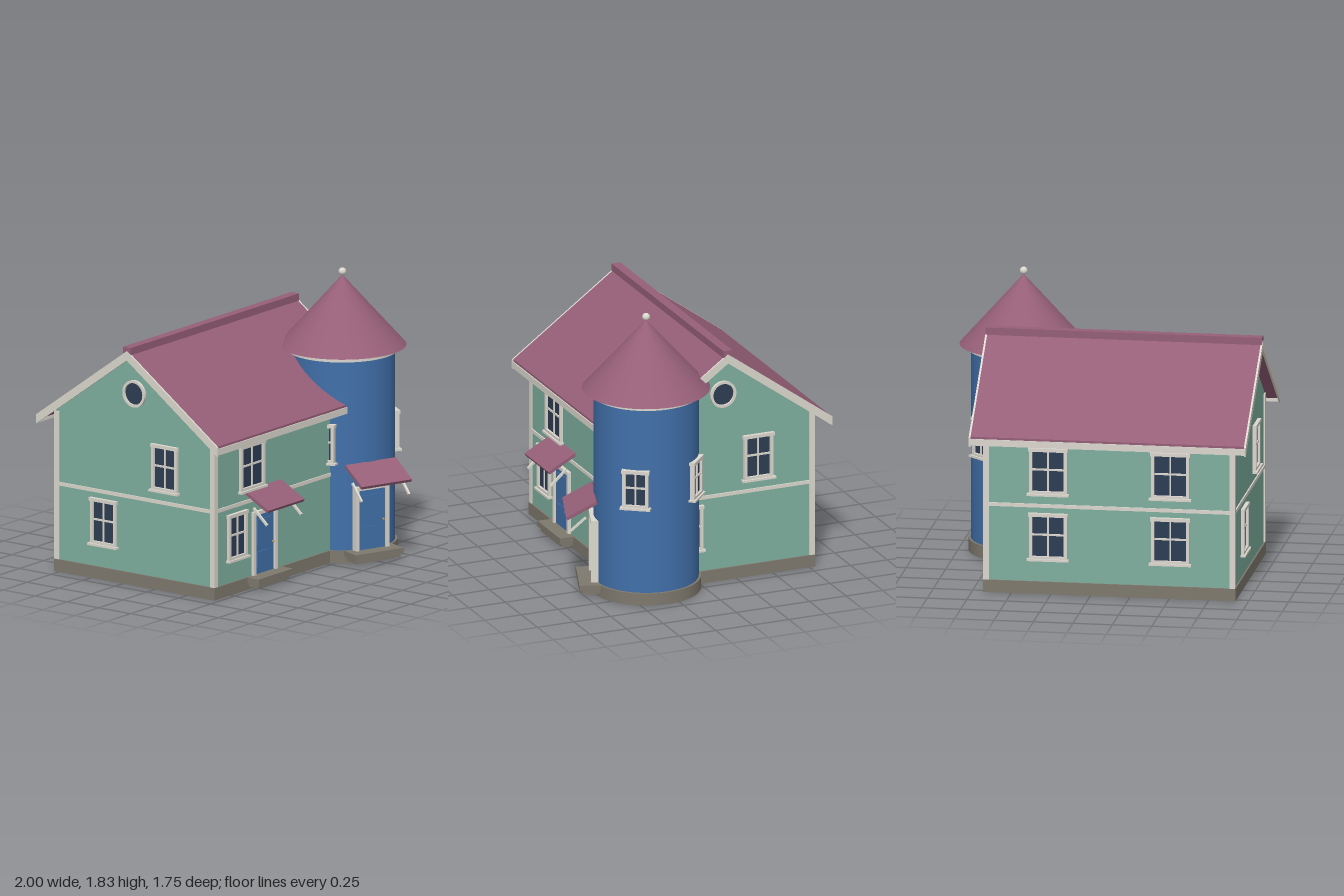
import * as THREE from 'three';

const mat = (name, color) => Object.assign(new THREE.MeshStandardMaterial({ color }), { name });

export function createModel() {
  const green = mat('wall green', 0x7fb09f);
  const blue = mat('tower blue', 0x4170aa);
  const plum = mat('roof plum', 0x965f78);
  const white = mat('trim white', 0xdcd8cf);
  const stone = mat('foundation stone', 0x7f796e);
  const glass = mat('window glass', 0x2c3d54);
  const brass = mat('knob brass', 0xb09a60);

  const house = new THREE.Group();
  house.name = 'house';

  const add = (parent, name, geo, material, x = 0, y = 0, z = 0) => {
    const m = new THREE.Mesh(geo, material);
    m.name = name;
    m.position.set(x, y, z);
    parent.add(m);
    return m;
  };
  // box given by its limits on each axis
  const box = (parent, name, material, x0, x1, y0, y1, z0, z1) =>
    add(parent, name, new THREE.BoxGeometry(x1 - x0, y1 - y0, z1 - z0), material,
      (x0 + x1) / 2, (y0 + y1) / 2, (z0 + z1) / 2);

  const X0 = -0.91, X1 = 0.67, Z0 = -0.78, Z1 = 0.46, RIDGE = -0.16;
  const R = 0.33, TX = 0.595, TZ = 0.33;

  // extrudes an outline of [distance from ridge, y] along x
  const alongX = (name, pts, x0, x1, material) => {
    const shape = new THREE.Shape(pts.map(([d, y]) => new THREE.Vector2(d, y)));
    const geo = new THREE.ExtrudeGeometry(shape, { depth: x1 - x0, bevelEnabled: false });
    geo.rotateY(Math.PI / 2);
    return add(house, name, geo, material, x0, 0, RIDGE);
  };
  // roof-shaped band with a given vertical thickness
  const chevron = (name, top, thick, reach, x0, x1, material) => {
    const eave = top - 0.725 * reach;
    alongX(name, [[-reach, eave - thick], [0, top - thick], [reach, eave - thick],
      [reach, eave], [0, top], [-reach, eave]], x0, x1, material);
  };

  // foundation and walls
  box(house, 'foundation', stone, X0 - 0.01, X1 + 0.01, 0, 0.08, Z0 - 0.01, Z1 + 0.01);
  alongX('walls', [[-0.62, 0.08], [0.62, 0.08], [0.62, 1.045], [0, 1.495], [-0.62, 1.045]], X0, X1, green);
  box(house, 'wallBand', white, X0 - 0.008, X1 + 0.008, 0.557, 0.58, Z0 - 0.008, Z1 + 0.008);
  for (const [x, sx] of [[X0, 1], [X1, -1]])
    for (const [z, sz] of [[Z0, 1], [Z1, -1]])
      add(house, 'cornerTrim', new THREE.BoxGeometry(0.036, 0.955, 0.036), white,
        x + sx * 0.01, 0.5575, z + sz * 0.01);

  // main roof
  chevron('roof', 1.53, 0.04, 0.705, -0.99, 0.748, plum);
  for (const x of [-0.998, 0.746]) chevron('bargeBoard', 1.531, 0.06, 0.712, x, x + 0.012, white);
  for (const s of [-1, 1])
    add(house, 'eaveFascia', new THREE.BoxGeometry(1.74, 0.042, 0.016), white, -0.121, 0.984, RIDGE + s * 0.704);
  box(house, 'ridgeCap', plum, -0.995, 0.755, 1.5, 1.555, RIDGE - 0.03, RIDGE + 0.03);

  // round tower
  const cyl = (name, r, y0, y1, material) =>
    add(house, name, new THREE.CylinderGeometry(r, r, y1 - y0, 48), material, TX, (y0 + y1) / 2, TZ);
  cyl('towerBase', 0.345, 0, 0.08, stone);
  cyl('towerWall', R, 0.08, 1.3, blue);
  cyl('towerCornice', 0.347, 1.298, 1.332, white);
  add(house, 'towerRoof', new THREE.ConeGeometry(0.402, 0.45, 40), plum, TX, 1.555, TZ);
  add(house, 'finial', new THREE.SphereGeometry(0.025, 20, 14), white, TX, 1.8, TZ);

  // group standing on a wall, its +z pointing outward
  const mount = (name, x, y, z, angle) => {
    const g = new THREE.Group();
    g.name = name;
    g.position.set(x, y, z);
    g.rotation.y = angle;
    house.add(g);
    return g;
  };
  const onTower = (name, y, degrees) => {
    const a = THREE.MathUtils.degToRad(degrees);
    return mount(name, TX + R * Math.sin(a), y, TZ + R * Math.cos(a), a);
  };

  // sash window; the origin is the bottom of the sill
  const fillWindow = (g, w, h) => {
    const a = w / 2, f = 0.02;
    box(g, 'pane', glass, -a + 0.01, a - 0.01, 0.015, h - 0.015, -0.015, 0.004);
    for (const s of [-1, 1])
      add(g, 'windowJamb', new THREE.BoxGeometry(f, h - 0.02, 0.035), white, s * (a - f / 2), h / 2, 0.0025);
    box(g, 'windowHead', white, -a - 0.006, a + 0.006, h - 0.022, h, -0.015, 0.024);
    box(g, 'lowerRail', white, -a, a, 0.012, 0.03, -0.015, 0.02);
    box(g, 'windowSill', white, -a - 0.014, a + 0.014, 0, 0.014, -0.015, 0.032);
    box(g, 'mullion', white, -0.005, 0.005, 0.02, h - 0.02, -0.01, 0.012);
    box(g, 'crossBar', white, -a + 0.01, a - 0.01, h * 0.55 - 0.006, h * 0.55 + 0.006, -0.01, 0.012);
  };
  const UP = 0.635, LOW = 0.215, H = 0.307;
  fillWindow(mount('frontUpperWindow', -0.527, UP, Z1, 0), 0.245, H);
  fillWindow(mount('frontLowerWindow', -0.68, LOW, Z1, 0), 0.19, H);
  for (const x of [0.267, -0.507])
    for (const y of [UP, LOW]) fillWindow(mount('backWindow', x, y, Z0, Math.PI), 0.24, H);
  for (const s of [-1, 1]) {
    const x = s < 0 ? X0 : X1, a = s * Math.PI / 2;
    fillWindow(mount('sideUpperWindow', x, UP, RIDGE - s * 0.24, a), 0.2, H);
    fillWindow(mount('sideLowerWindow', x, LOW, RIDGE + s * 0.24, a), 0.2, H);
    // round gable window
    const g = mount('roundWindow', x, 1.24, RIDGE, a);
    add(g, 'roundPane', new THREE.CylinderGeometry(0.074, 0.074, 0.01, 36), glass).rotation.x = Math.PI / 2;
    const ring = new THREE.Shape().absarc(0, 0, 0.087, 0, Math.PI * 2);
    ring.holes.push(new THREE.Path().absarc(0, 0, 0.07, 0, Math.PI * 2));
    add(g, 'roundFrame', new THREE.ExtrudeGeometry(ring, { depth: 0.03, bevelEnabled: false, curveSegments: 36 }),
      white, 0, 0, -0.012);
  }
  for (const d of [55, 137, -75]) fillWindow(onTower('towerWindow', UP, d), 0.165, 0.26);

  // door with steps and awning; the origin is at ground level
  const fillDoor = (g) => {
    box(g, 'door', blue, -0.102, 0.102, 0.08, 0.47, -0.03, 0.006);
    for (const [y0, y1] of [[0.12, 0.225], [0.265, 0.43]])
      box(g, 'doorPanel', blue, -0.07, 0.07, y0, y1, 0.004, 0.012);
    add(g, 'doorKnob', new THREE.SphereGeometry(0.008, 12, 8), brass, 0.085, 0.262, 0.014);
    for (const s of [-1, 1])
      add(g, 'doorJamb', new THREE.BoxGeometry(0.022, 0.41, 0.05), white, s * 0.112, 0.285, -0.003);
    box(g, 'doorHead', white, -0.123, 0.123, 0.468, 0.49, -0.03, 0.024);
    box(g, 'landing', stone, -0.178, 0.178, 0.047, 0.081, -0.04, 0.1);
    box(g, 'lowerStep', stone, -0.163, 0.163, 0.018, 0.047, -0.04, 0.085);
    const awning = add(g, 'awning', new THREE.BoxGeometry(0.375, 0.02, 0.215), plum, 0, 0.583, 0.085);
    awning.rotation.x = 0.5;
    for (const s of [-1, 1])
      add(g, 'awningStrut', new THREE.BoxGeometry(0.014, 0.014, 0.145), white, s * 0.177, 0.488, 0.112)
        .rotation.x = 0.74;
  };
  fillDoor(mount('frontDoor', -0.4, 0, Z1, 0));
  fillDoor(onTower('towerDoor', 0, -20));

  return house;
}
